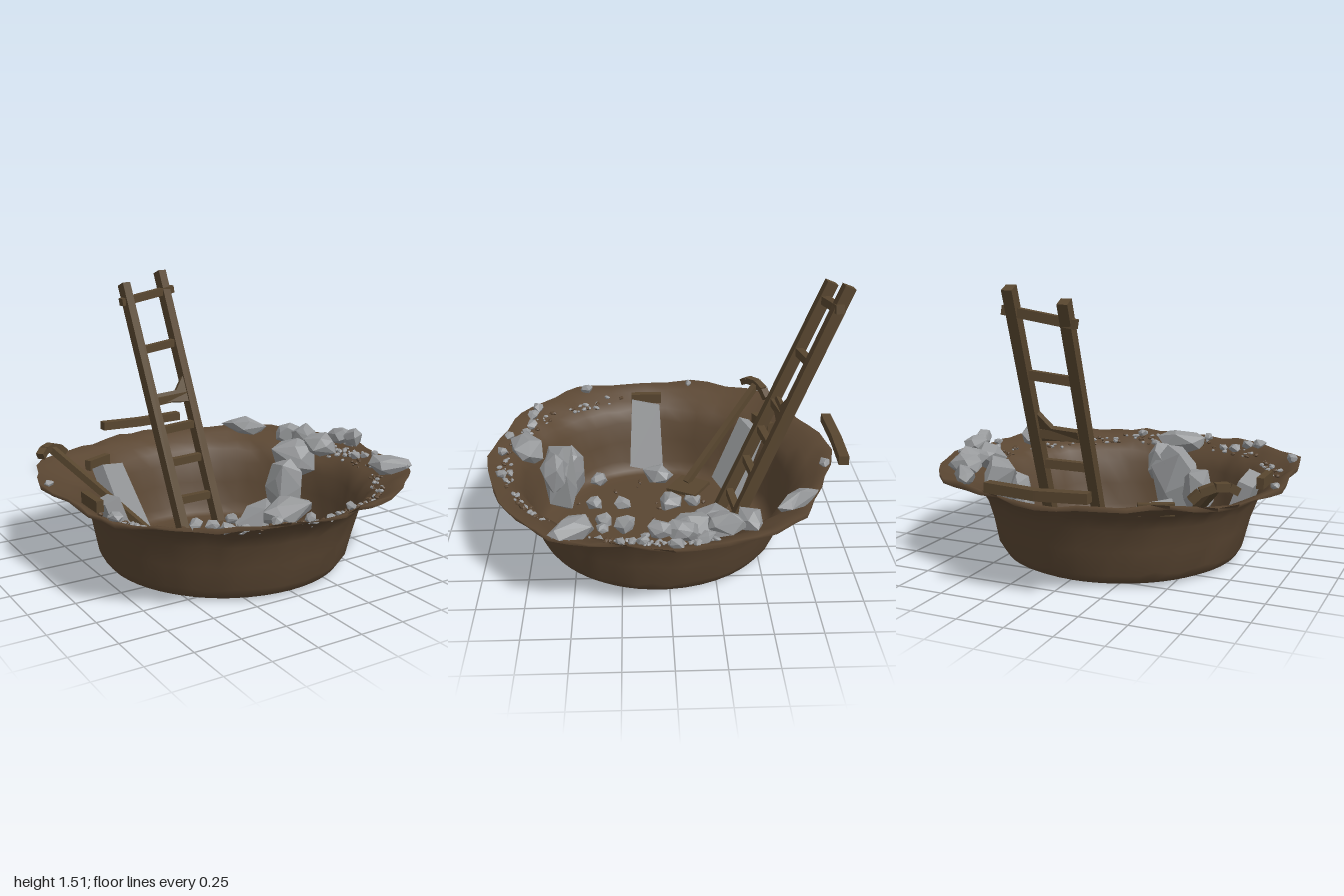
import * as THREE from 'three';
import { ConvexGeometry } from 'three/addons/geometries/ConvexGeometry.js';

const V = (x, y, z) => new THREE.Vector3(x, y, z);
const makeMaterial = (name, color, options) => {
  const m = new THREE.MeshStandardMaterial({ color, ...options });
  m.name = name;
  return m;
};

// Rim outline, x and z pairs in order round the crater
const RIM = [
  0.985, -0.01, 0.92, 0.22, 0.92, 0.4, 0.86, 0.6, 0.72, 0.71, 0.58, 0.83, 0.38, 0.92, 0.2, 0.96, 0, 0.995,
  -0.2, 0.95, -0.45, 0.9, -0.62, 0.81, -0.78, 0.67, -0.91, 0.54, -0.95, 0.33, -0.96, 0.1, -0.99, -0.2,
  -0.92, -0.42, -0.81, -0.65, -0.6, -0.73, -0.42, -0.82, -0.2, -0.9, 0, -0.94, 0.25, -0.87,
  0.5, -0.76, 0.68, -0.69, 0.82, -0.52, 0.92, -0.28,
];
// Crater rings: height, circle radius, share of the rim outline
const RINGS = [
  [0.005, 0.3, 0], [0.003, 0.55, 0], [0.003, 0.62, 0], [0.02, 0.655, 0], [0.07, 0.685, 0], [0.2, 0.717, 0],
  [0.32, 0.75, 0], [0.39, 0.79, 0], [0.43, 0.79, 0.3], [0.47, 0.79, 0.65], [0.498, 0.79, 1], [0.475, 0.78, 0.98],
];
const CX = -0.02, CZ = 0.05, SEG = 56;

export function createModel() {
  const model = new THREE.Group();
  model.name = 'craterWithLadder';
  let seed = 7;
  const rand = () => (seed = (seed * 16807) % 2147483647) / 2147483647;
  const vary = (a) => (rand() * 2 - 1) * a;

  const soil = makeMaterial('soil', 0x5a4632, { side: THREE.DoubleSide });
  const wood = makeMaterial('wood', 0x58462f, { flatShading: true });
  const stone = makeMaterial('stone', 0x96989a, { flatShading: true });

  const add = (geo, mat, name, parent = model) => {
    const m = new THREE.Mesh(geo, mat);
    m.name = name;
    parent.add(m);
    return m;
  };
  const group = (name) => {
    const g = new THREE.Group();
    g.name = name;
    model.add(g);
    return g;
  };

  // Rim outline as a smooth closed curve
  const rimCurve = new THREE.CatmullRomCurve3(
    Array.from({ length: RIM.length / 2 }, (_, i) => V(RIM[2 * i], 0, RIM[2 * i + 1])), true);
  const rimPts = rimCurve.getPoints(SEG).slice(0, SEG);

  // Crater shell
  const pos = [CX, 0.003, CZ], idx = [];
  RINGS.forEach(([y, r, w], k) => {
    const rough = k > 3 ? 0.008 : 0;
    rimPts.forEach((p) => {
      const a = Math.atan2(p.z - CZ, p.x - CX);
      pos.push(
        THREE.MathUtils.lerp(CX + r * Math.cos(a), p.x, w) + vary(rough),
        y + vary(rough * 1.2),
        THREE.MathUtils.lerp(CZ + r * Math.sin(a), p.z, w) + vary(rough));
    });
  });
  for (let i = 0; i < SEG; i++) {
    const j = (i + 1) % SEG;
    idx.push(0, 1 + j, 1 + i);
    for (let k = 0; k < RINGS.length - 1; k++) {
      const a = 1 + k * SEG + i, b = 1 + k * SEG + j;
      idx.push(a, b, a + SEG, b, b + SEG, a + SEG);
    }
  }
  const shell = new THREE.BufferGeometry();
  shell.setAttribute('position', new THREE.Float32BufferAttribute(pos, 3));
  shell.setIndex(idx);
  shell.computeVertexNormals();
  const crater = add(shell, soil, 'crater');

  // Ground height, found by dropping a ray on the shell
  const ray = new THREE.Raycaster();
  const ground = (x, z) => {
    ray.set(V(x, 2, z), V(0, -1, 0));
    const hit = ray.intersectObject(crater)[0];
    return hit ? hit.point.y : 0.49;
  };

  // Squared timber between two points
  const beam = (a, b, w, h, name, parent, mat = wood) => {
    const m = add(new THREE.BoxGeometry(w, h, a.distanceTo(b)), mat, name, parent);
    m.position.copy(a).add(b).multiplyScalar(0.5);
    m.lookAt(b);
    return m;
  };

  // Ladder
  const ladder = group('ladder');
  const L = [V(-0.08, 0.03, -0.3), V(-0.143, 1.44, -0.9)];
  const R = [V(0.185, 0.03, -0.335), V(0.12, 1.5, -0.935)];
  beam(...L, 0.052, 0.064, 'rightRail', ladder);
  beam(...R, 0.052, 0.064, 'leftRail', ladder);
  const along = ([a, b], t) => a.clone().lerp(b, t);
  [0.12, 0.27, 0.4, 0.515, 0.725].forEach((t) =>
    beam(along(L, t), along(R, t - 0.01), 0.04, 0.045, 'rung', ladder));
  beam(V(-0.185, 1.335, -0.86), V(0.18, 1.395, -0.885), 0.045, 0.045, 'topRung', ladder);
  // Splintered brace beside the middle rung
  const brace = new THREE.Shape([[-0.08, 0.79], [0.06, 0.8], [0.12, 0.88], [0.15, 0.88], [0.16, 0.72], [-0.08, 0.74]]
    .map(([x, y]) => new THREE.Vector2(x, y - 0.78)));
  const braceMesh = add(new THREE.ExtrudeGeometry(brace, { depth: 0.03, bevelEnabled: false }), wood, 'brace', ladder);
  braceMesh.position.set(0, 0.78, -0.645);
  braceMesh.rotation.x = -0.39;

  // Bent plank lying on the back rim
  const planks = group('planks');
  beam(V(-0.29, 0.56, -0.955), V(-0.02, 0.55, -0.967), 0.055, 0.05, 'rimPlank', planks);
  beam(V(-0.03, 0.55, -0.967), V(0.25, 0.56, -0.955), 0.055, 0.05, 'rimPlank', planks);

  // Pickaxe leaning on the wall
  const pick = group('pickaxe');
  beam(V(-0.35, 0.1, -0.14), V(-0.77, 0.57, -0.605), 0.038, 0.038, 'handle', pick);
  const head = [V(-0.86, 0.55, -0.53), V(-0.825, 0.575, -0.56), V(-0.77, 0.578, -0.605), V(-0.71, 0.555, -0.64), V(-0.67, 0.515, -0.66)];
  head.slice(1).forEach((p, i) => beam(head[i], p, 0.045, 0.04, 'head', pick));

  // Flat board at the foot of the handle
  const board = add(new THREE.BoxGeometry(0.18, 0.02, 0.2), wood, 'floorBoard');
  board.position.set(-0.32, 0.09, -0.15);
  board.rotation.set(0.08, -0.6, 0);

  // Angular stone hull; sx, sy, sz are half sizes
  const rocks = group('rocks');
  const rock = (x, y, z, sx, sy, sz, turn, name, n) => {
    const pts = [];
    for (let i = 0; i < n; i++) {
      const v = 1 - (2 * (i + 0.5)) / n, a = i * 2.4 + vary(0.5), q = Math.sqrt(1 - v * v);
      const s = 0.98 + vary(0.17);
      pts.push(V(Math.cos(a) * q * sx * s, v * sy * s, Math.sin(a) * q * sz * s));
    }
    const m = add(new ConvexGeometry(pts), stone, name, rocks);
    m.position.set(x, y, z);
    m.rotation.y = turn;
  };

  // Floor stones: x, z, size
  [[-0.48, 0.03, 0.095], [-0.17, -0.03, 0.085], [-0.22, -0.17, 0.06], [0.4, 0.05, 0.065], [0.37, -0.25, 0.045],
    [0.25, -0.29, 0.05], [0.26, -0.2, 0.045], [0.07, 0.24, 0.075], [-0.18, 0.25, 0.06], [-0.48, 0.4, 0.06],
    [-0.2, 0.42, 0.055], [-0.01, 0.36, 0.055], [0.06, 0.37, 0.04], [0.28, 0.39, 0.07], [0.43, 0.34, 0.025],
    [0.06, 0.5, 0.075], [0.14, 0.12, 0.03], [0.18, 0.22, 0.025],
  ].forEach(([x, z, s]) => rock(x, 0.01 + s * 0.8, z, s, s * 0.75, s * 0.95, rand() * 3, 'floorStone', 14));

  // Boulders: position, half sizes, turn
  [[-0.13, 0.28, 0.61, 0.16, 0.25, 0.11, 0.2], [-0.29, 0.22, 0.56, 0.13, 0.18, 0.08, -0.5], [-0.12, 0.48, 0.79, 0.16, 0.075, 0.11, 0.1],
    [-0.03, 0.37, 0.63, 0.08, 0.14, 0.09, 0], [0.54, 0.23, -0.14, 0.1, 0.22, 0.14, 0.2], [0.63, 0.4, -0.2, 0.12, 0.13, 0.15, 0.4],
    [0.76, 0.49, -0.1, 0.1, 0.075, 0.13, 0], [0.72, 0.5, -0.39, 0.1, 0.06, 0.08, 0.4], [0.77, 0.52, -0.27, 0.08, 0.06, 0.11, 0],
    [0.87, 0.54, -0.05, 0.07, 0.06, 0.09, 0.2], [0.89, 0.55, 0.06, 0.05, 0.055, 0.07, 0], [0.8, 0.505, 0.49, 0.08, 0.065, 0.12, 0.5],
    [0.57, 0.51, -0.65, 0.06, 0.06, 0.14, 0.6],
  ].forEach((b) => rock(...b, 'boulder', 16));

  // Rim stones: x, z, size
  [[-0.61, 0.77, 0.045], [-0.53, 0.79, 0.045], [-0.45, 0.79, 0.045], [-0.37, 0.82, 0.035], [-0.88, 0.48, 0.045], [-0.24, 0.9, 0.04],
    [0.2, 0.9, 0.035], [-0.95, -0.18, 0.03], [0.9, 0.25, 0.03], [0.1, 0.87, 0.03], [0.85, 0.14, 0.04], [0.87, 0.19, 0.03],
    [0.86, -0.17, 0.05], [0.93, -0.02, 0.045], [0.16, -0.87, 0.04], [-0.07, 0.93, 0.04], [0.85, 0.57, 0.03], [0.93, -0.12, 0.03],
  ].forEach(([x, z, s]) => rock(x, ground(x, z) + s * 0.5, z, s, s * 0.7, s * 0.8, rand() * 3, 'rimStone', 12));

  // Stone slabs leaning on the wall, each with a short plank above
  const slab = (a, b, p, q) => {
    const at = beam(a, b, 0.21, 0.085, 'leaningSlab', rocks, stone).geometry.attributes.position;
    for (let i = 0; i < at.count; i++) {
      if (at.getZ(i) > 0) at.setX(i, at.getX(i) * 0.82);
      at.setZ(i, at.getZ(i) + at.getX(i) * 0.2);
    }
    beam(p, q, 0.04, 0.06, 'wallPlank', planks);
  };
  slab(V(-0.36, 0.05, -0.38), V(-0.45, 0.43, -0.54), V(-0.56, 0.44, -0.57), V(-0.4, 0.44, -0.65));
  slab(V(-0.61, 0.06, 0.1), V(-0.75, 0.46, 0.1), V(-0.825, 0.46, 0), V(-0.825, 0.46, 0.19));

  // Scattered rubble on the floor and the rim
  const rubble = group('rubble');
  const chip = new THREE.IcosahedronGeometry(1, 0);
  const scatter = (count, mat, name, place) => {
    for (let i = 0; i < count; i++) {
      const [x, z] = place(), s = 0.006 + rand() * 0.01;
      const m = add(chip, mat, name, rubble);
      m.position.set(x, ground(x, z) + s * 0.8, z);
      m.scale.set(s * (1 + rand()), s * 0.8, s);
      m.rotation.y = rand() * 6;
    }
  };
  const polar = (a, r) => [CX + r * Math.cos(a), CZ + r * Math.sin(a)];
  scatter(40, soil, 'clod', () => polar(rand() * 6.283, 0.56 * Math.sqrt(rand())));
  scatter(60, soil, 'clod', () => polar(-0.2 + rand() * 3.1, 0.82 + rand() * 0.06));
  scatter(60, stone, 'chip', () => polar(-0.2 + rand() * 3, 0.82 + rand() * 0.06));
  scatter(40, stone, 'chip', () => polar(-0.3 + rand() * 0.4, 0.85 + rand() * 0.08));

  return model;
}
